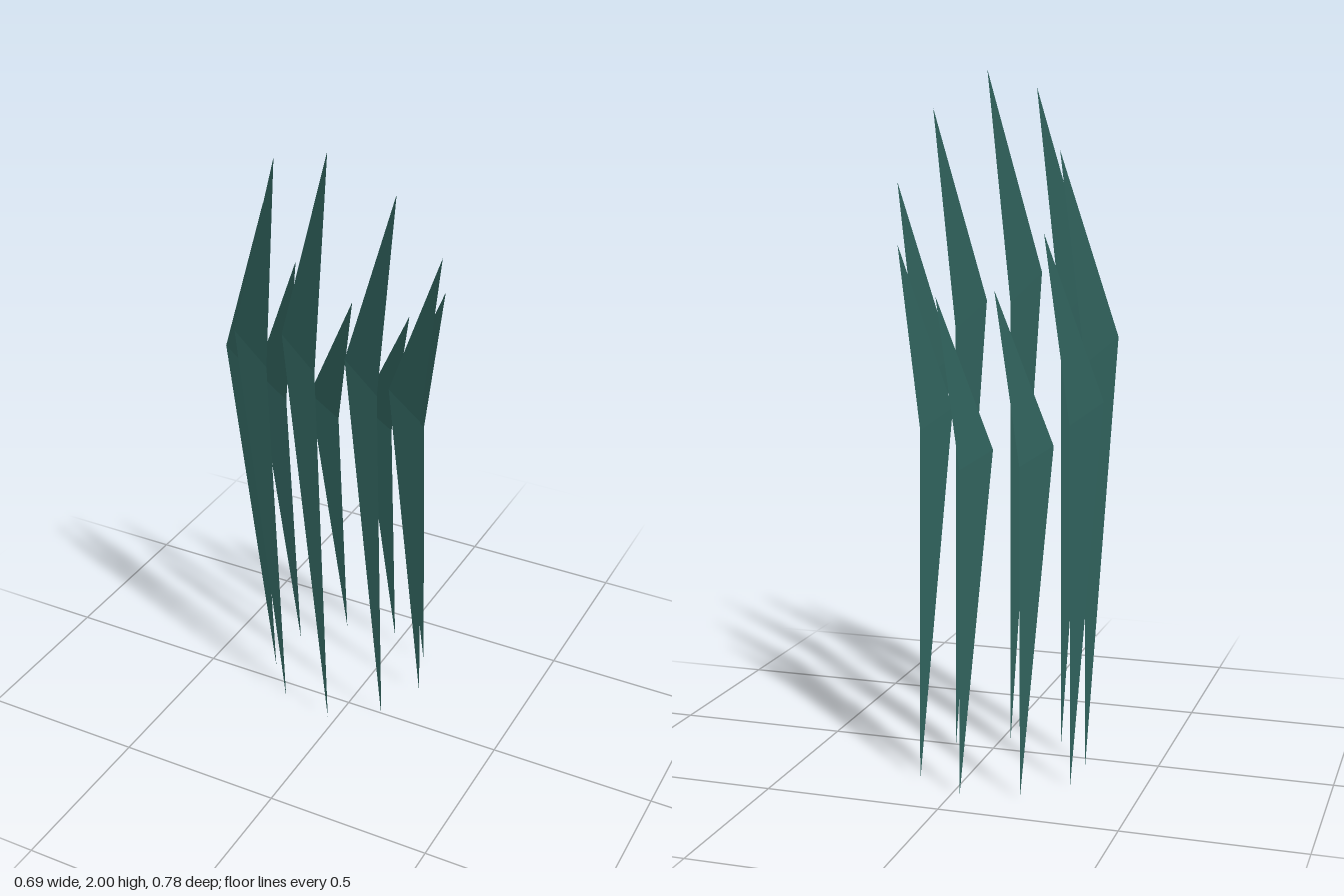
import * as THREE from 'three';

// One grass blade: pointed foot, widest at a slanted bend, pointed leaning tip
function bladeGeometry(height) {
  const foot = [0, 0, 0];
  const left = [-0.048, 0.7 * height, 0.155];
  const right = [0.05, 0.653 * height, 0.155];
  const tip = [0.166, height, 0.292];
  const geometry = new THREE.BufferGeometry();
  geometry.setAttribute('position', new THREE.Float32BufferAttribute(
    [foot, right, left, left, right, tip].flat(), 3));
  geometry.computeVertexNormals();
  return geometry;
}

export function createModel() {
  const model = new THREE.Group();
  model.name = 'grassTuft';
  const material = new THREE.MeshStandardMaterial({
    color: 0x33686a, flatShading: true, side: THREE.DoubleSide,
  });
  material.color.set(0x336862);

  // Ring of blades: foot x, foot z, height
  const blades = [
    [-0.025, 0.095, 2.0],
    [0.12, 0.01, 1.885],
    [0.178, -0.147, 1.665],
    [0.12, -0.305, 1.49],
    [-0.025, -0.389, 1.35],
    [-0.19, -0.36, 1.37],
    [-0.298, -0.231, 1.525],
    [-0.298, -0.063, 1.76],
    [-0.19, 0.066, 1.945],
  ];
  blades.forEach(([x, z, height], i) => {
    const blade = new THREE.Mesh(bladeGeometry(height), material);
    blade.name = `blade${i + 1}`;
    blade.position.set(x, 0, z);
    model.add(blade);
  });
  return model;
}
